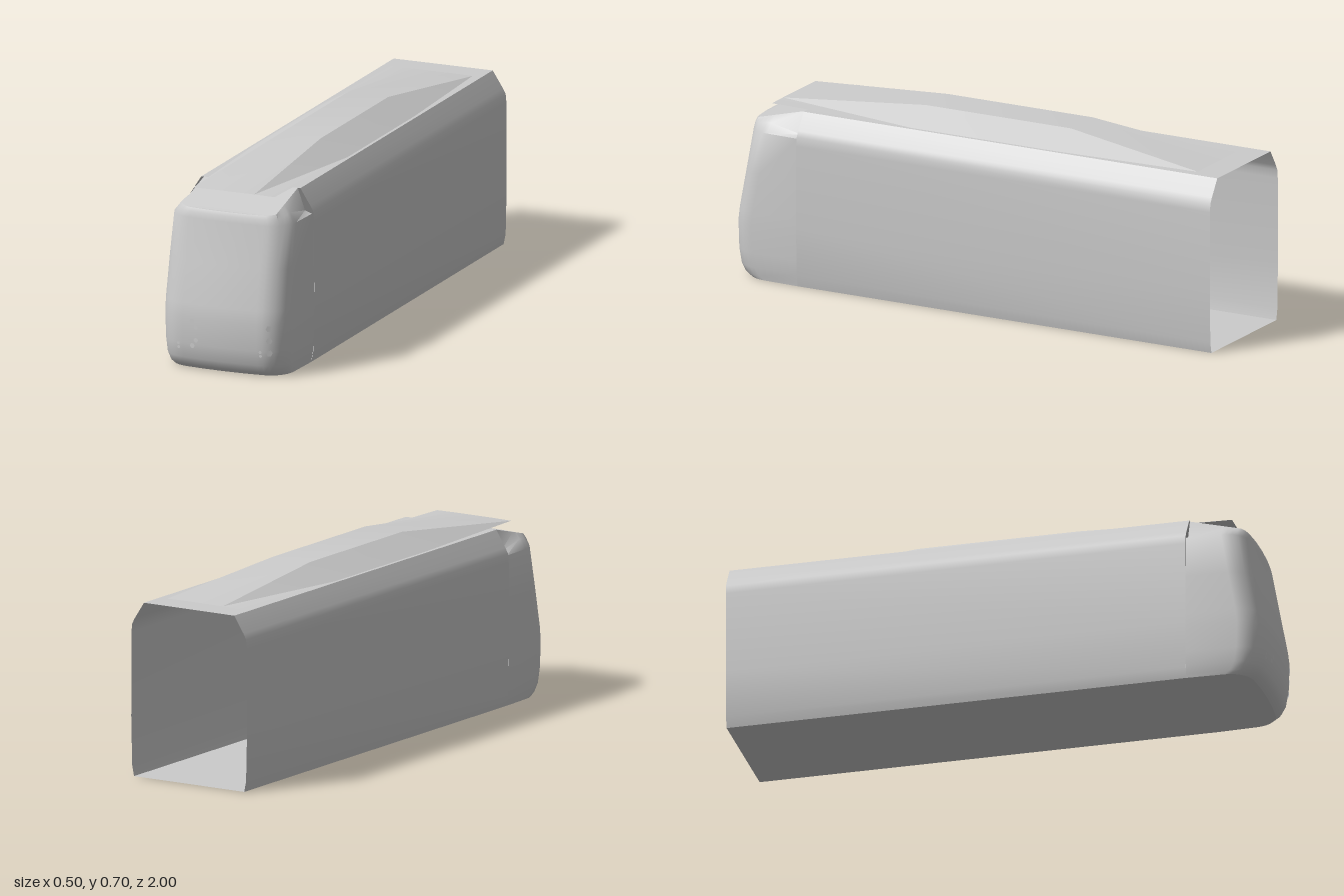
import * as THREE from 'three';
import { toCreasedNormals } from 'three/addons/utils/BufferGeometryUtils.js';

// Skin a surface over rows of [x, y, z] points
function loft(rows, crease = 0.6) {
  const n = rows[0].length, index = [];
  for (let i = 0; i < rows.length - 1; i++) {
    for (let j = 0; j < n - 1; j++) {
      const a = i * n + j, d = a + n;
      index.push(a, a + 1, d + 1, a, d + 1, d);
    }
  }
  const g = new THREE.BufferGeometry();
  g.setAttribute('position', new THREE.Float32BufferAttribute(rows.flat(2), 3));
  g.setIndex(index);
  return toCreasedNormals(g, crease);
}

const lerp = THREE.MathUtils.lerp;
const JOINT = 0.71; // where the nose meets the body

// Piecewise linear lookup of [y, value, value] rows
function sample(table, y, k) {
  for (let i = 1; i < table.length; i++) {
    const a = table[i - 1], b = table[i];
    if (y <= b[0]) return lerp(a[k], b[k], (y - a[0]) / (b[0] - a[0]));
  }
  return table[table.length - 1][k];
}

// Nose height, front reach and half width
const noseTable = [
  [0, 0.95, 0.236], [0.015, 0.972, 0.238], [0.045, 0.988, 0.243], [0.1, 0.997, 0.246],
  [0.2, 1.0, 0.248], [0.25, 0.994, 0.248], [0.4, 0.966, 0.245], [0.555, 0.938, 0.239],
];

// Half plan of the nose at a height, from the centre to the rear
function halfPlan(y) {
  const zf = sample(noseTable, y, 1), w = sample(noseTable, y, 2);
  const pts = [[0, zf], [0.08, zf - 0.002]];
  const steps = 7;
  for (let i = 0; i <= steps; i++) {
    const t = (i / steps) * Math.PI / 2;
    pts.push([0.145 + (w - 0.148) * Math.sin(t), zf - 0.1 + 0.092 * Math.cos(t)]);
  }
  pts.push([w + 0.002, JOINT]);
  return pts;
}

// Mirror a half row [x, y, z] into a full row running from -x to +x
const mirrorRow = half => [
  ...half.slice(1).reverse().map(([x, y, z]) => [-x, y, z]), ...half,
];

export function createModel() {
  const group = new THREE.Group();
  const grey = new THREE.MeshStandardMaterial({ color: 0xcccccc, side: THREE.DoubleSide });
  grey.name = 'body grey';
  const add = (name, geometry) => {
    const mesh = new THREE.Mesh(geometry, grey);
    mesh.name = name;
    group.add(mesh);
    return mesh;
  };

  // Hollow carriage body, open at the rear
  const side = [
    [0.238, 0], [0.246, 0.04], [0.25, 0.22], [0.249, 0.53], [0.246, 0.562],
    [0.235, 0.583], [0.195, 0.645],
  ];
  const ring = [...side, ...side.map(([x, y]) => [-x, y]).reverse(), side[0]];
  add('carriageBody', loft([-1, JOINT].map(z => ring.map(([x, y]) => [x, y, z]))));

  // Raised roof panel, overhanging the nose at its front
  const roofSections = [
    [-0.9, 0.16, 0.647], [-0.33, 0.185, 0.705], [0.27, 0.185, 0.705], [0.86, 0.16, 0.647],
  ];
  add('roofHump', loft(roofSections.map(([z, w, top]) => [
    [w, 0.646, z], [0.08, top, z], [-0.08, top, z], [-w, 0.646, z],
  ]), 0.3));

  // Nose walls: stacked plans, starting with the floor's centre line
  const wall = noseTable.map(([y]) => halfPlan(y).map(([x, z]) => [x, y, z]));
  const floor = wall[0].map(([, y, z]) => [0, y, z]);
  add('noseFloor', loft([floor, wall[0]].map(mirrorRow)));

  // Nose roof slopes forward, with a dip in each shoulder by the joint
  const top = wall[wall.length - 1];
  const roofY = z => lerp(0.645, 0.59, Math.min(1, (z - JOINT) / 0.21));
  const rim = top.map(([x, , z]) => {
    const zz = JOINT + (z - JOINT) * 0.96;
    return [Math.min(x * 0.92, 0.185), roofY(zz), zz];
  });
  const shoulder = top.map(([x, y, z], i) => {
    const r = rim[i], rear = Math.max(0, 1 - (z - JOINT) / 0.13);
    return [lerp(x, r[0], 0.5), lerp(y, r[1], 0.6) - 0.045 * rear, lerp(z, r[2], 0.35)];
  });
  add('noseShell', loft([...wall, shoulder, rim].map(mirrorRow), 0.75));
  const ridge = rim.map(([, y, z]) => [0, y, z]);
  add('noseRoof', loft([rim, ridge].map(mirrorRow)));

  // Small hexagonal lamps on the nose: x, y, radius
  const lamps = [
    [-0.105, 0.187, 0.01], [-0.09, 0.165, 0.009], [-0.09, 0.117, 0.009], [-0.105, 0.095, 0.01],
    [-0.162, 0.098, 0.006], [-0.162, 0.083, 0.006], [0.16, 0.098, 0.006], [0.16, 0.083, 0.006],
    [0.192, 0.187, 0.012], [0.192, 0.141, 0.012], [0.192, 0.095, 0.012],
  ];
  for (const [x, y, r] of lamps) {
    const plan = halfPlan(y), ax = Math.abs(x);
    const k = plan.findIndex(p => p[0] >= ax);
    const [x0, z0] = plan[k - 1], [x1, z1] = plan[k];
    const z = lerp(z0, z1, (ax - x0) / (x1 - x0));
    const lamp = add('noseLamp', new THREE.CircleGeometry(r, 6));
    lamp.position.set(x, y, z + 0.002);
    lamp.rotation.y = Math.sign(x) * Math.atan2(z0 - z1, x1 - x0);
  }
  return group;
}
